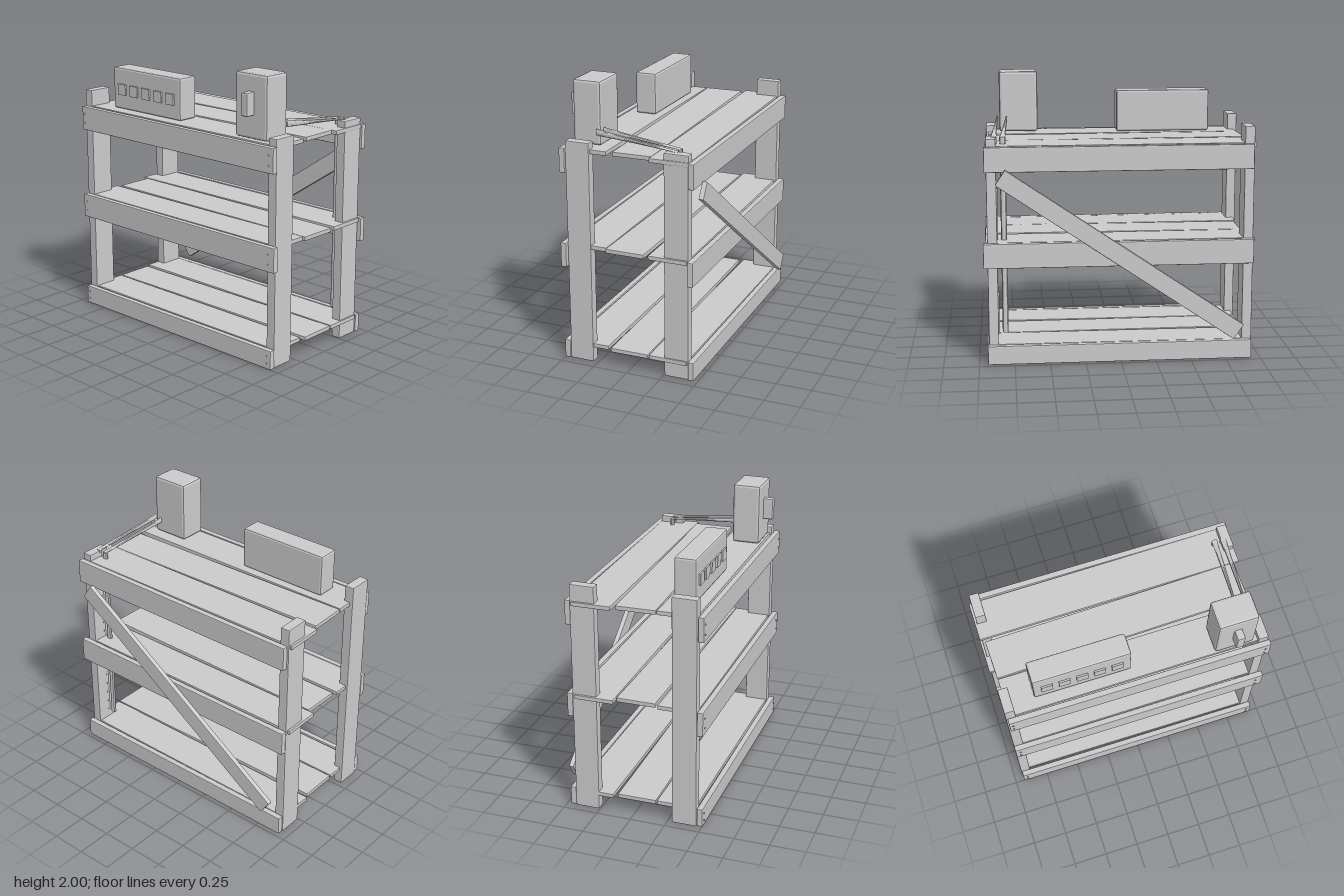
import * as THREE from 'three';
import { RoundedBoxGeometry } from 'three/addons/geometries/RoundedBoxGeometry.js';

const material = new THREE.MeshStandardMaterial({ color: 0xcccccc, flatShading: true });

export function createModel() {
  const model = new THREE.Group();

  const add = (name, geometry, x = 0, y = 0, z = 0) => {
    const mesh = new THREE.Mesh(geometry, material);
    mesh.name = name;
    mesh.position.set(x, y, z);
    model.add(mesh);
    return mesh;
  };
  // Chamfered block given by its extents on each axis
  const block = (name, [x0, x1], [y0, y1], [z0, z1], bevel = 0.006) =>
    add(name, new RoundedBoxGeometry(x1 - x0, y1 - y0, z1 - z0, 1, bevel),
      (x0 + x1) / 2, (y0 + y1) / 2, (z0 + z1) / 2);

  // Corner posts, taller on the right side
  for (const [side, top] of [[-1, 1.67], [1, 1.6]]) {
    const xs = side < 0 ? [-0.94, -0.87] : [0.86, 0.93];
    block('frontPost', xs, [0.004, top], [0.285, 0.46]);
    block('backPost', xs, [0.004, top], [-0.43, -0.255]);
  }

  // Three levels: rails, nails and slightly crooked planks
  const levels = [
    { rail: [0.005, 0.14], x: [-0.935, 0.935], deck: 0.125,
      planks: [[0, -0.285, 1.88, -0.004], [0.01, 0.013, 1.86, 0.008], [0.0, 0.31, 1.84, -0.003]] },
    { rail: [0.70, 0.875], x: [-0.94, 0.955], deck: 0.86,
      planks: [[-0.005, -0.278, 1.9, 0.006], [0.02, 0.022, 1.85, -0.008], [0, 0.315, 1.85, 0.004]] },
    { rail: [1.375, 1.55], x: [-0.93, 0.94], deck: 1.538,
      planks: [[-0.01, -0.285, 1.89, 0.008], [-0.01, 0.007, 1.82, 0.022], [0, 0.31, 1.83, 0.004]] },
  ];
  for (const { rail, x, deck, planks } of levels) {
    block('frontRail', x, rail, [0.462, 0.504]);
    block('backRail', [x[0], x[1] + 0.004], rail, [-0.472, -0.43]);
    for (const [px, pz, length, turn] of planks) {
      const plank = add('shelfPlank', new RoundedBoxGeometry(length, 0.03, 0.28, 1, 0.004), px, deck, pz);
      plank.rotation.y = turn;
    }
    for (const nx of [-0.905, 0.9]) {
      for (const f of [0.3, 0.7]) {
        const nail = add('nail', new THREE.CylinderGeometry(0.006, 0.006, 0.012, 8),
          nx, THREE.MathUtils.lerp(rail[0], rail[1], f), 0.504);
        nail.rotation.x = Math.PI / 2;
      }
    }
  }

  // Diagonal brace across the back
  const brace = add('diagonalBrace', new RoundedBoxGeometry(2.02, 0.126, 0.036, 1, 0.005), 0, 0.778, -0.493);
  brace.rotation.z = Math.atan2(1.135, 1.67);

  // Button panel with five square buttons
  block('buttonPanel', [-0.715, -0.03], [1.555, 1.858], [0.222, 0.378], 0.014);
  for (let i = 0; i < 5; i++) {
    add('button', new THREE.BoxGeometry(0.08, 0.08, 0.024), -0.62 + i * 0.123, 1.70, 0.378);
  }

  // Switch box with its lever
  block('switchBox', [0.55, 0.83], [1.56, 2], [0.24, 0.443], 0.018);
  block('switchLever', [0.662, 0.718], [1.722, 1.88], [0.43, 0.513], 0.01);

  // Two cables: a twisting run to the back corner, then a straight drop
  for (const [x0, x1] of [[0.778, 0.812], [0.847, 0.874]]) {
    const run = new THREE.CylinderGeometry(1, 1, 1, 8, 8);
    const p = run.attributes.position;
    for (let i = 0; i < p.count; i++) {
      const t = p.getY(i) + 0.5;
      const rx = THREE.MathUtils.lerp(0.006, 0.02, t);
      const ry = THREE.MathUtils.lerp(0.022, 0.004, t);
      p.setXYZ(i,
        THREE.MathUtils.lerp(x0, x1, t) + p.getX(i) * rx,
        THREE.MathUtils.lerp(1.658, 1.6, t) + p.getZ(i) * ry,
        THREE.MathUtils.lerp(0.265, -0.335, t));
    }
    run.computeVertexNormals();
    add('cableRun', run);
    const drop = add('cableDrop', new THREE.CylinderGeometry(0.021, 0.021, 1.4, 8), x1, 0.9, -0.325);
    drop.scale.z = 0.7;
  }

  return model;
}
